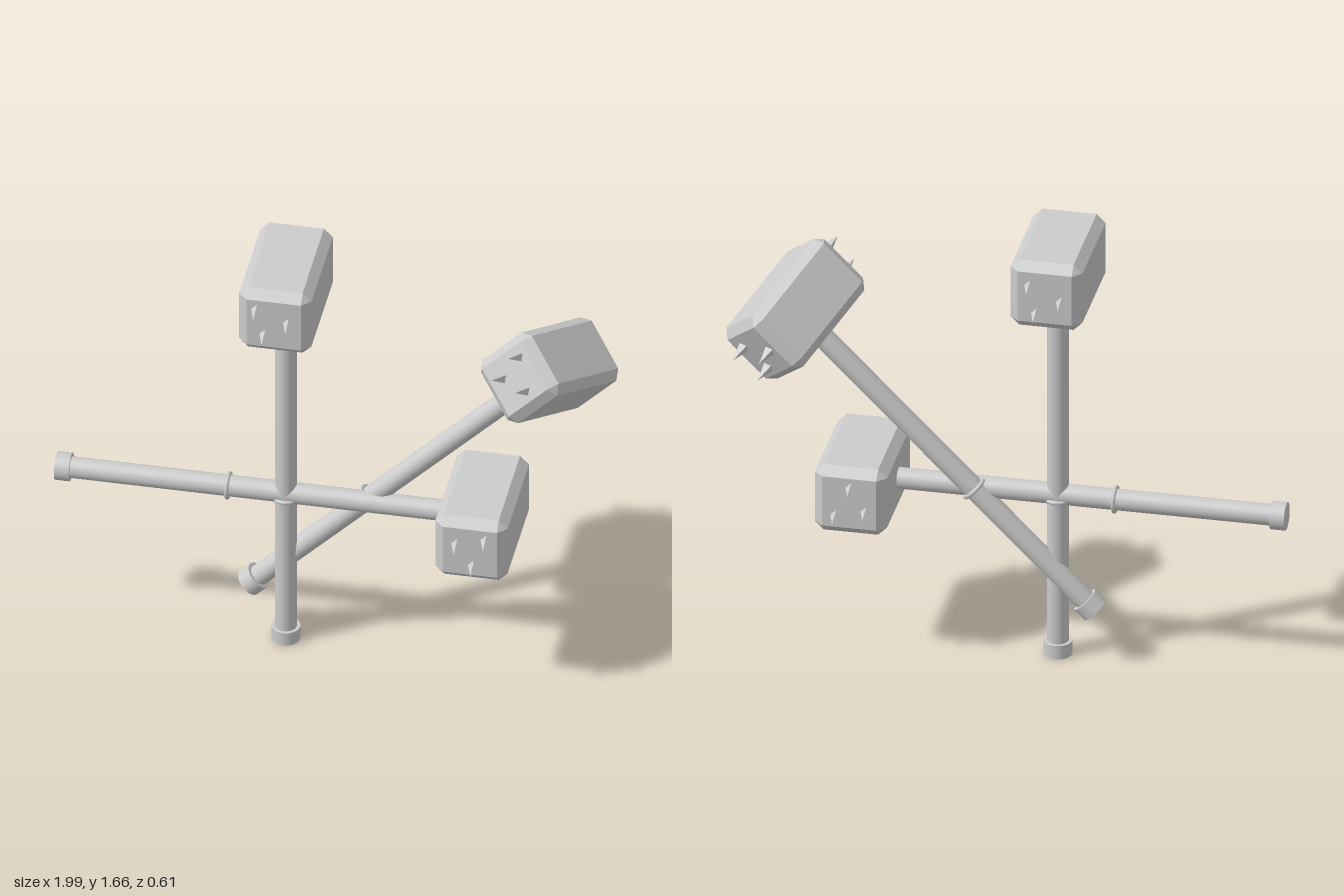
import * as THREE from 'three';
import { ConvexGeometry } from 'three/addons/geometries/ConvexGeometry.js';

const smooth = new THREE.MeshStandardMaterial({ color: 0xcccccc });
const faceted = new THREE.MeshStandardMaterial({ color: 0xcccccc, flatShading: true });

function part(name, geometry, material, parent) {
  const mesh = new THREE.Mesh(geometry, material);
  mesh.name = name;
  parent.add(mesh);
  return mesh;
}

// Box with every edge cut by a flat chamfer: three points at each corner
function chamferedBox(hx, hy, hz, c) {
  const points = [];
  for (const sx of [-1, 1]) for (const sy of [-1, 1]) for (const sz of [-1, 1]) {
    points.push(
      new THREE.Vector3(sx * hx, sy * (hy - c), sz * (hz - c)),
      new THREE.Vector3(sx * (hx - c), sy * hy, sz * (hz - c)),
      new THREE.Vector3(sx * (hx - c), sy * (hy - c), sz * hz),
    );
  }
  return new ConvexGeometry(points);
}

const HEAD_Y = 1.53;
const HEAD_HALF = 0.13;
const HEAD_DEPTH = 0.228;
const SPIKE = 0.068;

// Spike positions on each striking face, measured from the head centre
const SPIKES = {
  front: { side: 1, at: [[-0.06, 0.06], [0.055, 0.015], [-0.03, -0.045]] },
  back: { side: -1, at: [[0.052, 0.047], [-0.062, -0.008], [0.028, -0.062]] },
};

// One hammer standing upright on its pommel
function createHammer(name) {
  const hammer = new THREE.Group();
  hammer.name = name;

  part('handle', new THREE.CylinderGeometry(0.0385, 0.0385, 1.4, 32), smooth, hammer).position.y = 0.72;
  part('pommel', new THREE.CylinderGeometry(0.051, 0.051, 0.053, 32), smooth, hammer).position.y = 0.0265;

  // Thin grip ring
  const ring = part('gripRing', new THREE.TorusGeometry(0.043, 0.008, 8, 32), smooth, hammer);
  ring.rotation.x = Math.PI / 2;
  ring.position.y = 0.618;

  part('head', chamferedBox(HEAD_HALF, HEAD_HALF, HEAD_DEPTH, 0.032), faceted, hammer).position.y = HEAD_Y;

  // Four-sided spikes on both striking faces
  for (const [face, { side, at }] of Object.entries(SPIKES)) {
    for (const [x, y] of at) {
      const spike = part(`${face}Spike`, new THREE.ConeGeometry(0.021, SPIKE, 4), faceted, hammer);
      spike.rotation.x = side * Math.PI / 2;
      spike.position.set(x, HEAD_Y + y, side * (HEAD_DEPTH + SPIKE / 2));
    }
  }
  return hammer;
}

export function createModel() {
  const model = new THREE.Group();
  model.name = 'crossedHammers';

  // Placement of the pommel end, tilt in the front plane, twist about the handle
  const layout = [
    { name: 'uprightHammer', at: [-0.175, 0, 0], tilt: 0, twist: 0 },
    { name: 'levelHammer', at: [-1, 0.635, 0], tilt: -Math.PI / 2, twist: 0 },
    { name: 'slantedHammer', at: [-0.315, 0.2, -0.027], tilt: -Math.PI / 4, twist: -0.57 },
  ];
  for (const { name, at, tilt, twist } of layout) {
    const hammer = createHammer(name);
    hammer.position.set(...at);
    hammer.rotation.set(0, twist, tilt, 'ZYX');
    model.add(hammer);
  }
  return model;
}
